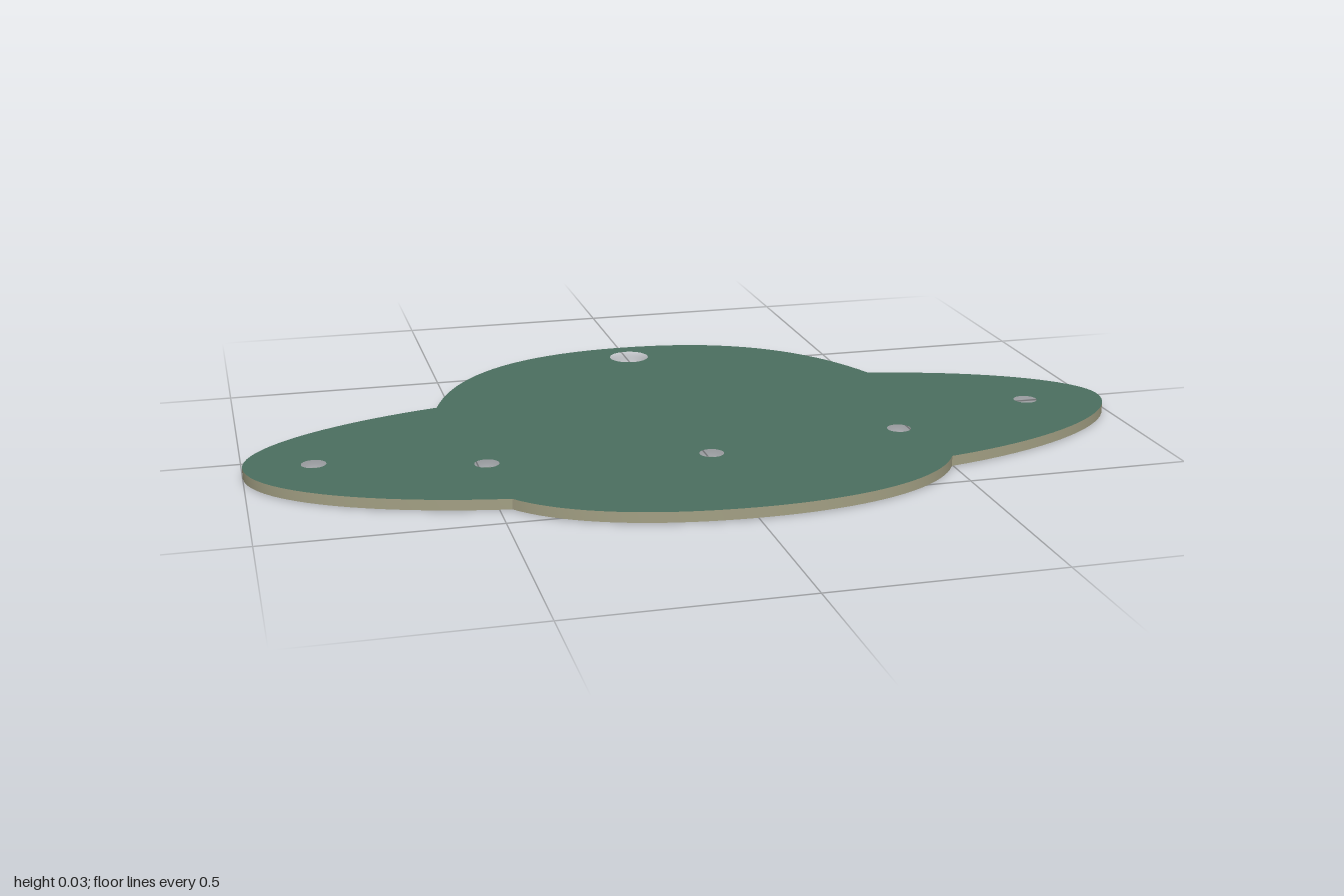
import * as THREE from 'three';
import { toCreasedNormals } from 'three/addons/utils/BufferGeometryUtils.js';

const paint = (name, color) => {
  const m = new THREE.MeshStandardMaterial({ color });
  m.name = name;
  return m;
};

export function createModel() {
  const root = new THREE.Group();
  root.name = 'circuitBoard';
  const green = paint('solder mask green', 0x4c7060);
  const tan = paint('fibreglass tan', 0xa3a084);
  const copper = paint('bare contact', 0x96907a);
  const silver = paint('solder pad', 0x9a9a9a);
  const silk = paint('printed line', 0x8e9690);

  const base = 0.002, top = 0.025;
  const ledHoles = [[-0.85, 0.11], [-0.49, 0.2], [-0.005, 0.255], [0.45, 0.195], [0.815, 0.065]];

  // Saucer outline, written as (x, z) curves
  const shape = new THREE.Shape();
  shape.moveTo(-0.54, 0.22);
  [
    [-0.47, -0.45, -0.31, -0.608, -0.01, -0.608], // dome
    [0.26, -0.61, 0.44, -0.48, 0.53, -0.235],
    [0.8, -0.18, 1, -0.05, 1, 0.06],              // right wing
    [1, 0.19, 0.8, 0.345, 0.495, 0.405],
    [0.42, 0.54, 0.23, 0.603, 0.02, 0.603],       // belly
    [-0.19, 0.603, -0.38, 0.55, -0.475, 0.43],
    [-0.78, 0.38, -1, 0.25, -1, 0.1],             // left wing
    [-1, -0.03, -0.8, -0.16, -0.54, -0.22],
  ].forEach(([a, b, c, d, e, f]) => shape.bezierCurveTo(a, -b, c, -d, e, -f));

  // Hanging hole and light holes
  const drill = (x, z, r) => {
    const hole = new THREE.Path();
    hole.absarc(x, -z, r, 0, Math.PI * 2, true);
    shape.holes.push(hole);
  };
  drill(-0.01, -0.52, 0.048);
  ledHoles.forEach(([x, z]) => drill(x, z, 0.027));

  const boardGeo = new THREE.ExtrudeGeometry(shape, { depth: top - base, bevelEnabled: false, curveSegments: 20 });
  boardGeo.rotateX(-Math.PI / 2);
  const board = new THREE.Mesh(toCreasedNormals(boardGeo, 0.5), [green, tan]);
  board.name = 'board';
  board.position.y = base;
  root.add(board);

  // Thin plate on the underside
  const plate = (parent, name, mat, x, z, w, d, turn = 0) => {
    const mesh = new THREE.Mesh(new THREE.BoxGeometry(w, base, d), mat);
    mesh.name = name;
    mesh.position.set(x, base / 2, z);
    mesh.rotation.y = turn;
    parent.add(mesh);
  };
  const group = (name) => {
    const g = new THREE.Group();
    g.name = name;
    root.add(g);
    return g;
  };

  // Battery contact with its side tabs and dashed outline
  const battery = group('batteryHolder');
  const disc = new THREE.Mesh(new THREE.CylinderGeometry(0.135, 0.135, base, 48), copper);
  disc.name = 'batteryContact';
  disc.position.set(-0.01, base / 2, -0.253);
  battery.add(disc);
  for (const s of [-1, 1]) plate(battery, 'batteryTab', silver, -0.015 + s * 0.193, -0.25, 0.06, 0.085);
  for (let i = 0; i < 32; i++) {
    const a = (i / 32) * Math.PI * 2;
    if (Math.abs(Math.sin(a)) < 0.3) continue;
    plate(battery, 'outlineDash', silk, -0.01 + 0.17 * Math.cos(a), -0.253 + 0.17 * Math.sin(a), 0.005, 0.018, -a);
  }

  // Four solder pads and short marks around each light hole
  for (const [x, z] of ledHoles) {
    const led = group('lightPads');
    for (const sx of [-1, 1]) {
      for (const sz of [-1, 1]) plate(led, 'lightPad', silver, x + sx * 0.052, z + sz * 0.019, 0.026, 0.014);
      plate(led, 'lightMark', silk, x, z + sx * 0.04, 0.03, 0.005);
    }
  }

  // Switch footprint
  const sw = group('switchPads');
  for (const sx of [-1, 0, 1])
    for (const sz of [-1, 1]) plate(sw, 'switchPad', silver, -0.364 + sx * 0.035, -0.281 + sz * 0.04, 0.02, 0.03);
  for (const s of [-1, 1]) plate(sw, 'switchOutline', silk, -0.364 + s * 0.06, -0.281, 0.005, 0.07);

  // Small chip footprint
  const chip = group('chipPads');
  for (let i = 0; i < 4; i++)
    for (const s of [-1, 1]) plate(chip, 'chipPad', silver, -0.258 + (i - 1.5) * 0.022, s * 0.028, 0.009, 0.022);

  // Dashed oval mark near the lower edge
  const mark = group('ovalMark');
  for (let i = 0; i < 16; i++) {
    const a = (i / 16) * Math.PI * 2;
    plate(mark, 'markDash', silk, 0.027 + 0.055 * Math.cos(a), 0.519 + 0.035 * Math.sin(a), 0.004, 0.01, -a);
  }
  return root;
}
